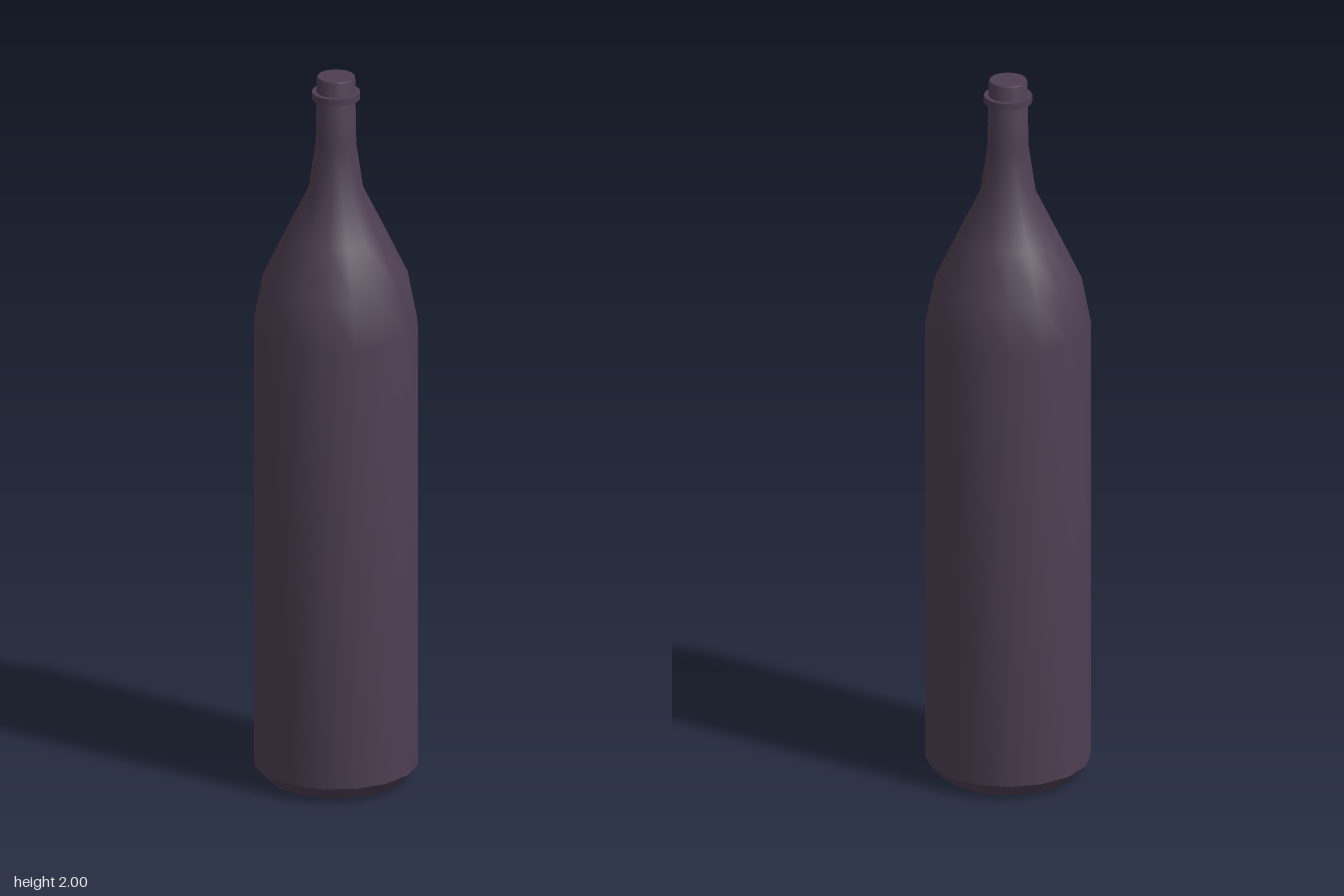
import * as THREE from 'three';
import { toCreasedNormals } from 'three/addons/utils/BufferGeometryUtils.js';

const SIDES = 16;

export function createModel() {
  const group = new THREE.Group();
  group.name = 'bottle';
  const glass = new THREE.MeshStandardMaterial({ color: 0x4d3e51 });

  // Turned part: profile of [radius, height], run from the bottom to the top
  function turned(name, profile) {
    const points = profile.map(([r, y]) => new THREE.Vector2(r, y));
    const geometry = toCreasedNormals(new THREE.LatheGeometry(points, SIDES), 0.6);
    const mesh = new THREE.Mesh(geometry, glass);
    mesh.name = name;
    group.add(mesh);
  }

  // Hollow under the base
  turned('punt', [[0, 0.08], [0.07, 0.07], [0.12, 0.04], [0.145, 0]]);

  // Base rim, body, shoulder, neck and closed mouth
  turned('body', [
    [0.145, 0], [0.185, 0.005], [0.222, 0.045],
    [0.222, 1.295], [0.197, 1.425], [0.135, 1.555], [0.074, 1.68],
    [0.055, 1.81], [0.052, 1.995], [0.05, 2], [0, 2],
  ]);

  // Raised band below the mouth
  turned('lipRing', [[0.05, 1.938], [0.065, 1.938], [0.065, 1.957], [0.05, 1.957]]);

  return group;
}
